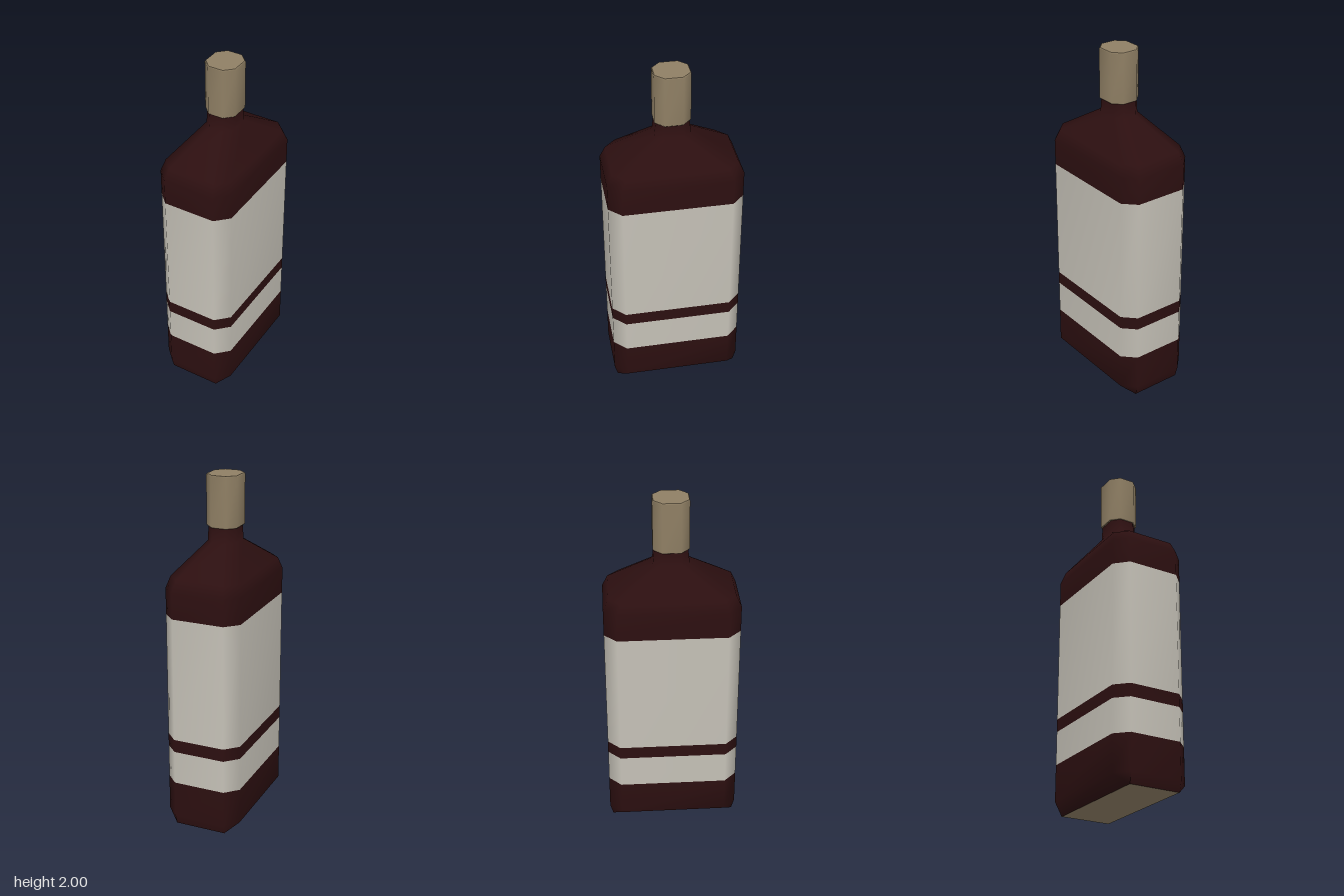
import * as THREE from 'three';

const material = (name, color) => {
  const m = new THREE.MeshStandardMaterial({ color });
  m.name = name;
  return m;
};

// Rectangle with cut corners, counter-clockwise seen from above
function section([y, hx, hz, cut]) {
  const a = hx - cut, b = hz - cut;
  return [[a, hz], [hx, b], [hx, -b], [a, -hz], [-a, -hz], [-hx, -b], [-hx, b], [-a, hz]]
    .flatMap(([x, z]) => [x, y, z]);
}

// Smooth skin through the sections; bands[i] is the material index above section i
function loft(sections, bands) {
  const index = [];
  const geometry = new THREE.BufferGeometry();
  for (let i = 0; i < sections.length - 1; i++) {
    geometry.addGroup(index.length, 48, bands ? bands[i] : 0);
    for (let j = 0; j < 8; j++) {
      const a = i * 8 + j, b = i * 8 + (j + 1) % 8;
      index.push(a, b, b + 8, a, b + 8, a + 8);
    }
  }
  geometry.setAttribute('position', new THREE.Float32BufferAttribute(sections.flatMap(section), 3));
  geometry.setIndex(index);
  geometry.computeVertexNormals();
  return geometry;
}

// Flat eight-sided end face
function endFace(sec, up) {
  const geometry = new THREE.BufferGeometry();
  const index = [];
  for (let k = 1; k < 7; k++) index.push(0, up ? k : k + 1, up ? k + 1 : k);
  geometry.setAttribute('position', new THREE.Float32BufferAttribute(section(sec), 3));
  geometry.setIndex(index);
  geometry.computeVertexNormals();
  return geometry;
}

export function createModel() {
  const glass = material('dark red glass', 0x2c0f10);
  const paper = material('label paper', 0xc4c0b6);
  const tan = material('tan cap', 0x8f7f64);

  const group = new THREE.Group();
  const add = (name, geometry, mat) => {
    const mesh = new THREE.Mesh(geometry, mat);
    mesh.name = name;
    group.add(mesh);
    return mesh;
  };

  // Bottle from foot to neck, with the two label bands wrapped round it
  const wall = (y) => [y, 0.222, 0.377, 0.071];
  add('bottle', loft([
    [0, 0.15, 0.36, 0],
    wall(0.06), wall(0.27), wall(0.465), wall(0.54), wall(1.26), wall(1.41),
    [1.475, 0.202, 0.347, 0.065],
    [1.63, 0.082, 0.1, 0.042],
    [1.73, 0.08, 0.09, 0.04],
  ], [0, 0, 1, 0, 1, 0, 0, 0, 0]), [glass, paper]);

  // Underside
  const base = add('base', new THREE.PlaneGeometry(0.3, 0.72), tan);
  base.rotation.x = Math.PI / 2;

  // Cap with slightly eased rims
  const foot = [1.712, 0.088, 0.095, 0.046], top = [2, 0.088, 0.095, 0.046];
  add('cap', loft([
    foot, [1.718, 0.093, 0.099, 0.048], [1.994, 0.093, 0.099, 0.048], top,
  ]), tan);
  add('capTop', endFace(top, true), tan);
  add('capUnderside', endFace(foot, false), tan);

  return group;
}
